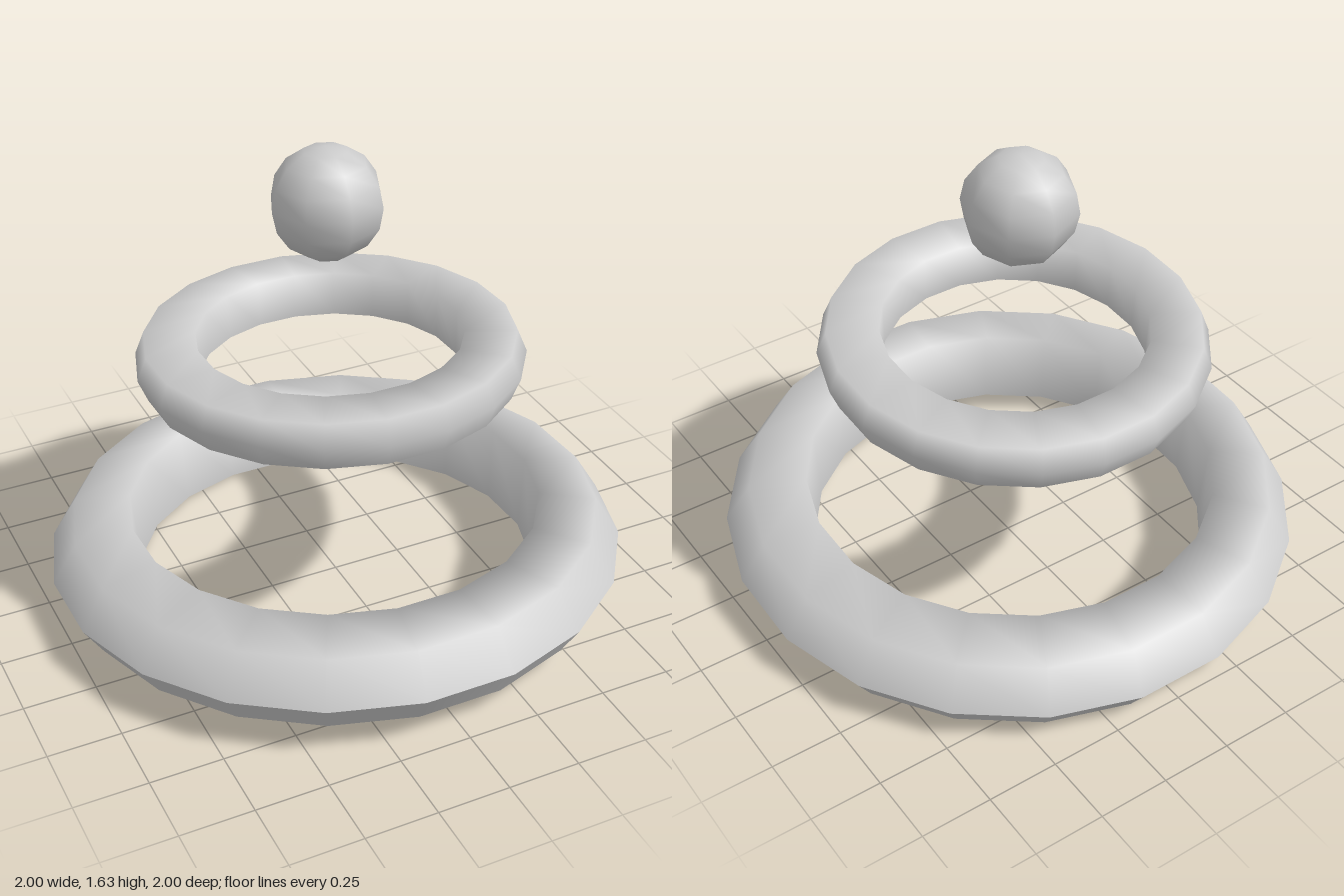
import * as THREE from 'three';

const SIDES = 20;
const HALF = Math.PI / SIDES;

// Smooth strip of revolution; radii are measured to the flats of the polygon
function strip(profile, material) {
  const points = profile.map(([r, y]) => new THREE.Vector2(r / Math.cos(HALF), y));
  const geometry = new THREE.LatheGeometry(points, SIDES);
  geometry.rotateY(HALF);
  return new THREE.Mesh(geometry, material);
}

// A ring is several smooth strips that meet at sharp edges
function ring(name, strips, material) {
  const group = new THREE.Group();
  group.name = name;
  for (const [part, profile] of Object.entries(strips)) {
    const mesh = strip(profile, material);
    mesh.name = part;
    group.add(mesh);
  }
  return group;
}

export function createModel() {
  const material = new THREE.MeshStandardMaterial({ color: 0xcccccc });
  const model = new THREE.Group();
  model.name = 'floatingRings';

  // Everything leans slightly back along one tilted axis
  const tilted = new THREE.Group();
  tilted.name = 'tiltedStack';
  tilted.rotation.x = -0.047;
  model.add(tilted);

  // Large lower ring: bevelled rim, domed top, upright inner wall, flat base
  tilted.add(ring('largeRing', {
    largeRingBase: [[0.695, 0.045], [0.932, 0.045]],
    largeRingLowerBevel: [[0.932, 0.045], [1.0, 0.152]],
    largeRingTop: [[1.0, 0.152], [0.915, 0.292], [0.715, 0.316], [0.695, 0.045]],
  }, material));

  // Small upper ring
  tilted.add(ring('smallRing', {
    smallRingBase: [[0.445, 0.805], [0.625, 0.805]],
    smallRingBody: [[0.625, 0.805], [0.657, 0.885], [0.625, 0.965], [0.45, 0.965], [0.445, 0.805]],
  }, material));

  // Ball on top
  const ball = new THREE.Mesh(new THREE.SphereGeometry(0.195, 8, 8), material);
  ball.name = 'ball';
  ball.position.y = 1.435;
  tilted.add(ball);

  return model;
}
